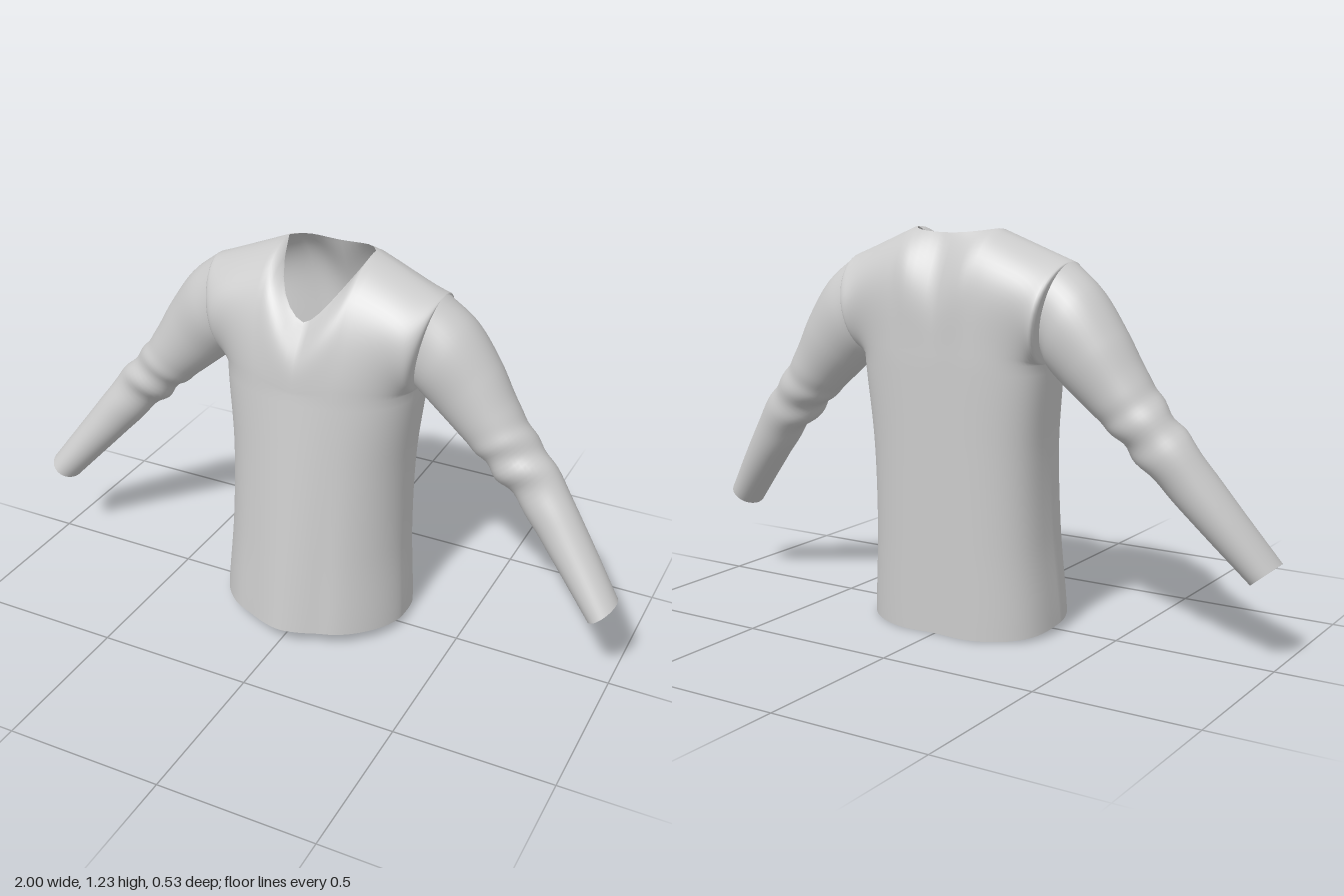
import * as THREE from 'three';
import { mergeVertices } from 'three/addons/utils/BufferGeometryUtils.js';

const COLS = 48, LOWER = 28, UPPER = 20;      // panel grid
const ARMPIT = 0.84;
const NECK = Math.cos((18 * Math.PI) / COLS); // column fraction where the neckline meets the shoulder
const lerp = THREE.MathUtils.lerp;
const gauss = (v, w) => Math.exp(-(v * v) / (w * w));

const cloth = new THREE.MeshStandardMaterial({ color: 0xcccccc, side: THREE.DoubleSide });

// Half width of the body by height fraction, hem to armpit
const widthCurve = new THREE.SplineCurve([
  new THREE.Vector2(0, 0.308), new THREE.Vector2(0.33, 0.29),
  new THREE.Vector2(0.67, 0.29), new THREE.Vector2(1, 0.315),
]);

// Triangles for a grid of points
function gridTriangles(rows, flip, out) {
  const tri = (a, b, c) => (flip ? [a, c, b] : [a, b, c]).forEach((p) => out.push(p.x, p.y, p.z));
  for (let i = 0; i < rows.length - 1; i++) {
    for (let j = 0; j < rows[i].length - 1; j++) {
      const a = rows[i][j], b = rows[i][j + 1], c = rows[i + 1][j + 1], d = rows[i + 1][j];
      tri(a, d, b);
      tri(b, d, c);
    }
  }
  return out;
}

// Smooth mesh with shared vertices at the seams
function clothMesh(positions, name) {
  let geo = new THREE.BufferGeometry();
  geo.setAttribute('position', new THREE.Float32BufferAttribute(positions, 3));
  geo = mergeVertices(geo, 1e-4);
  geo.computeVertexNormals();
  const mesh = new THREE.Mesh(geo, cloth);
  mesh.name = name;
  return mesh;
}

// Body section below the armpit: v = 0 hem, 1 armpit
function lowerPoint(front, theta, v) {
  const c = Math.cos(theta), s = Math.max(0, Math.sin(theta));
  const x = c * widthCurve.getPoint(v).y;
  const zSide = lerp(0, -0.07, v);
  let z;
  if (front) {
    z = zSide + (lerp(0.265, 0.17, v) - zSide) * Math.pow(s, lerp(1.2, 0.85, v));
    // Soft hanging folds
    z += 0.008 * (1 - v) * s * (gauss(x, 0.05) - gauss(x - 0.12, 0.04) - gauss(x + 0.13, 0.05));
  } else {
    z = zSide + (lerp(-0.255, -0.265, v) - zSide) * Math.pow(s, 0.6);
    z += 0.018 * gauss(x, 0.09);
  }
  return new THREE.Vector3(x, v, z);
}

// Top edge of a panel: neckline in the middle, shoulder seam outside
function topPoint(front, theta) {
  const c = Math.cos(theta), a = Math.abs(c), x = c * 0.375;
  if (a >= NECK - 1e-6) {
    const t = (a - NECK) / (1 - NECK);
    return new THREE.Vector3(x, 1.228 - 0.09 * t, lerp(-0.1, -0.07, t));
  }
  const t = a / NECK;
  return front
    ? new THREE.Vector3(x, 1.045 + 0.183 * Math.pow(t, 1.5), 0.09 - 0.19 * Math.pow(t, 2.8))
    : new THREE.Vector3(x, 1.215 + 0.013 * t * t, -0.16 + 0.06 * Math.pow(t, 5));
}

// Chest and shoulders: k = 0 armpit level, 1 top edge
function upperPoint(front, theta, k) {
  const low = lowerPoint(front, theta, 1), top = topPoint(front, theta);
  const a = Math.abs(Math.cos(theta));
  const wave = Math.sin(Math.PI * k);
  // Height eases over the shoulder, and follows a round armhole at the edge
  let rise = lerp(k, Math.sin((Math.PI * k) / 2), Math.min(1, a / NECK));
  rise = lerp(rise, (1 - Math.cos(Math.PI * k)) / 2, Math.pow(a, 8));
  // Fullness grows towards the armhole
  const bulge = front ? 0.01 + 0.1 * Math.pow(a, 4) : -(0.015 + 0.03 * a + 0.085 * Math.pow(a, 8));
  return new THREE.Vector3(
    lerp(low.x, top.x, rise),
    lerp(ARMPIT, top.y, rise),
    lerp(low.z, top.z, Math.pow(k, 1.6)) + bulge * lerp(wave * wave, wave, Math.pow(a, 6)),
  );
}

// One panel, hem to top edge
function panel(front) {
  const rows = [];
  for (let i = 0; i <= LOWER + UPPER; i++) {
    const row = [];
    for (let j = 0; j <= COLS; j++) {
      const theta = (Math.PI * j) / COLS;
      if (i <= LOWER) {
        const v = i / LOWER;
        const p = lowerPoint(front, theta, v);
        const hem = 0.024 + 0.096 * lowerPoint(front, theta, 0).z;
        p.y = lerp(hem, ARMPIT, v);
        row.push(p);
      } else {
        row.push(upperPoint(front, theta, (i - LOWER) / UPPER));
      }
    }
    rows.push(row);
  }
  return rows;
}

// Sleeve rings: centre x, y, z, normal tilt (radians above +x), in-plane radius, depth radius
const RINGS = [
  [0.395, 0.945, -0.083, 1.03, 0.138, 0.124],
  [0.46, 0.865, -0.085, 0.74, 0.122, 0.113],
  [0.53, 0.78, -0.08, 0.74, 0.102, 0.1],
  [0.595, 0.705, -0.075, 0.74, 0.088, 0.09],
  [0.695, 0.6, -0.07, 0.78, 0.08, 0.075],
  [0.83, 0.435, -0.03, 0.72, 0.066, 0.072],
  [0.96, 0.275, 0.018, 0.7, 0.052, 0.068],
];

// Sleeve sewn to the armhole loop; strands run from armhole to cuff
function sleeve(frontRows, backRows, side, name) {
  const edge = side > 0 ? 0 : COLS;
  const front = frontRows.slice(LOWER).map((r) => r[edge]);
  const back = backRows.slice(LOWER).map((r) => r[edge]).reverse();
  const loop = [...front, ...back.slice(1)];
  const steps = 64;
  const rows = Array.from({ length: steps + 1 }, () => []);
  loop.forEach((start, k) => {
    const phi = (2 * Math.PI * k) / (loop.length - 1);
    const points = RINGS.map(([x, y, z, tilt, rn, rz]) => {
      const n = -Math.cos(phi) * rn;
      return new THREE.Vector3(side * (x + Math.cos(tilt) * n), y + Math.sin(tilt) * n, z + Math.sin(phi) * rz);
    });
    const strand = new THREE.CatmullRomCurve3([start, ...points]);
    for (let i = 0; i <= steps; i++) {
      const t = i / steps;
      const p = strand.getPoint(t);
      // Slanted wrinkles around the elbow, deepest in the crook
      const depth = 0.004 + 0.005 * Math.pow(Math.cos((phi - 0.9) / 2), 2);
      const fold = depth * gauss(t - 0.64, 0.1) * Math.sin(48 * t + 2.4 * Math.cos(phi - 0.9));
      p.x -= side * Math.cos(phi) * fold * 0.7;
      p.y -= Math.cos(phi) * fold * 0.7;
      p.z += Math.sin(phi) * fold;
      rows[i].push(i === 0 ? start : p);
    }
  });
  return clothMesh(gridTriangles(rows, side < 0, []), name);
}

export function createModel() {
  const group = new THREE.Group();
  group.name = 'longSleeveShirt';
  const front = panel(true), back = panel(false);
  const body = gridTriangles(front, false, []);
  gridTriangles(back, true, body);
  group.add(
    clothMesh(body, 'body'),
    sleeve(front, back, 1, 'leftSleeve'),
    sleeve(front, back, -1, 'rightSleeve'),
  );
  return group;
}
